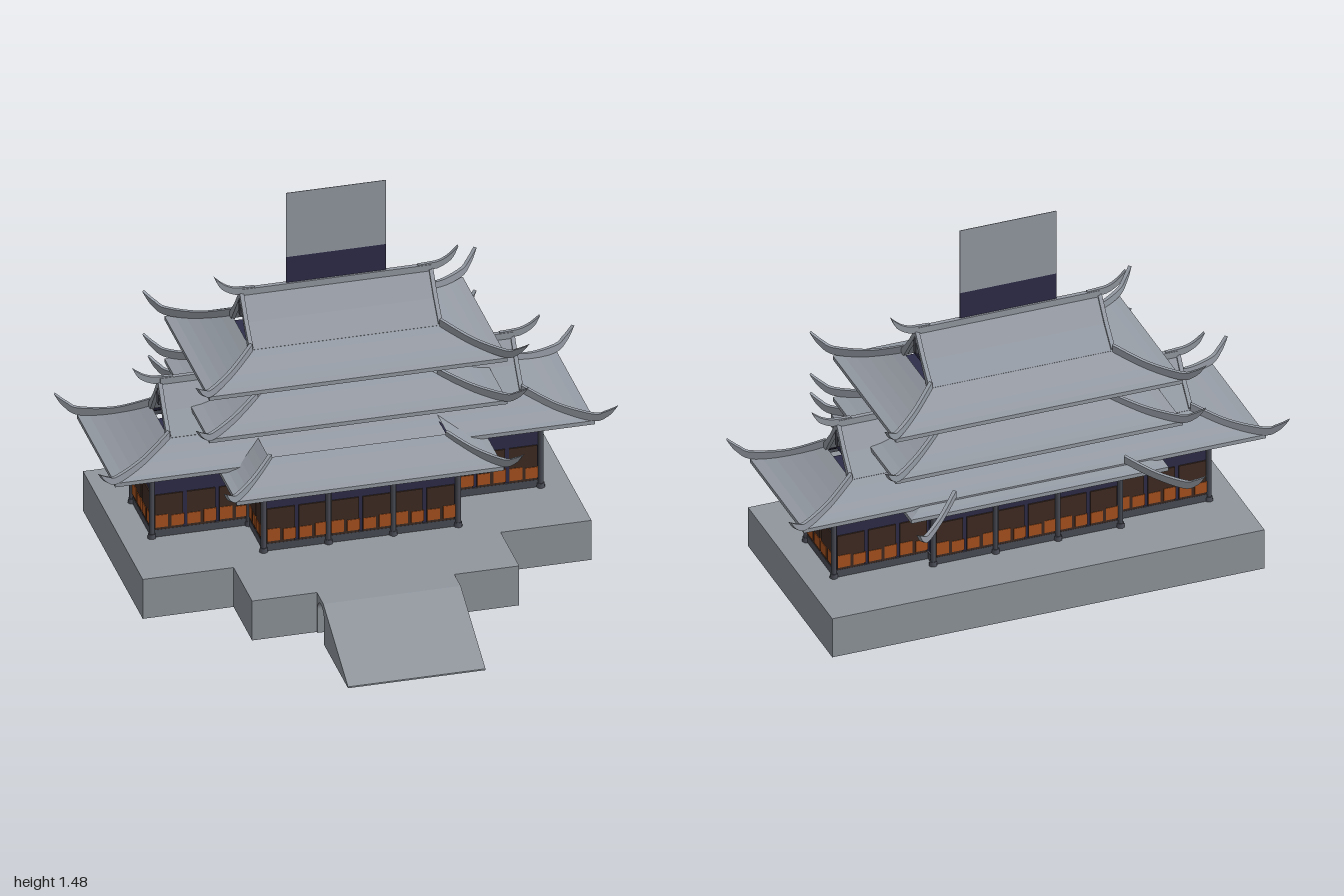
import * as THREE from 'three';

const D = THREE.DoubleSide;
const mat = (name, color, side = D) => {
  const m = new THREE.MeshStandardMaterial({ color, side });
  m.name = name;
  return m;
};
const CZ = -0.3; // depth of the ridge line

export function createModel() {
  const root = new THREE.Group();
  root.name = 'pagodaHall';
  const tile = mat('roof grey', 0x959ba4), stone = mat('stone grey', 0x90969d);
  const navy = mat('dark navy', 0x2d2c48), slate = mat('slate', 0x4a4c56);
  const brown = mat('dark brown', 0x3e2b22), orange = mat('lantern orange', 0xa9521f);

  const add = (geo, m, name, parent = root) => {
    const mesh = new THREE.Mesh(geo, m);
    mesh.name = name;
    parent.add(mesh);
    return mesh;
  };
  const box = (x0, x1, y0, y1, z0, z1, m, name, parent) => add(
    new THREE.BoxGeometry(x1 - x0, y1 - y0, z1 - z0)
      .translate((x0 + x1) / 2, (y0 + y1) / 2, (z0 + z1) / 2), m, name, parent);

  // Rectangular loop, and a skin of quads through a list of loops
  const rect = (x, zf, zb, y) => [[x, y, zf], [x, y, zb], [-x, y, zb], [-x, y, zf]];
  const skin = (loops) => {
    const pos = [];
    for (let k = 0; k + 1 < loops.length; k++) {
      const A = loops[k], B = loops[k + 1];
      A.forEach((a, i) => {
        const j = (i + 1) % A.length;
        pos.push(...a, ...A[j], ...B[j], ...a, ...B[j], ...B[i]);
      });
    }
    const g = new THREE.BufferGeometry();
    g.setAttribute('position', new THREE.Float32BufferAttribute(pos, 3));
    g.computeVertexNormals();
    return g;
  };

  // Hipped skirt roof: concave tiles, eave edge and dark underside
  function skirt(name, o, i) {
    const g = new THREE.Group();
    g.name = name;
    root.add(g);
    const mix = THREE.MathUtils.lerp, loops = [];
    for (let k = 0; k <= 6; k++) {
      const t = k / 6;
      loops.push(rect(mix(o.x, i.x, t), mix(o.zf, i.zf, t), mix(o.zb, i.zb, t), mix(o.y, i.y, t ** 1.5)));
    }
    add(skin(loops), tile, 'roofTiles', g);
    const drop = (l, d) => l.map(([x, y, z]) => [x, y - d, z]);
    add(skin([drop(loops[0], 0.016), loops[0]]), tile, 'eaveEdge', g);
    add(skin(loops.map(l => drop(l, 0.016)).reverse()), navy, 'roofUnderside', g);
    // Rafter strips just inside the eaves
    add(skin([rect(o.x - 0.03, o.zf - 0.03, o.zb + 0.03, o.y - 0.026),
      rect(o.x - 0.03, o.zf - 0.03, o.zb + 0.03, o.y)]), slate, 'rafterStrip', g);
  }

  // Curved ridge that dips to the eave and sweeps up to a pointed tip
  function horn(s, e, t, name, th = 0.024) {
    const dist = p => Math.hypot(p[0] - s[0], p[2] - s[2]);
    const ue = dist(e), ut = dist(t), mid = (s[1] + e[1]) / 2 - (s[1] - e[1]) * 0.2;
    const v = (x, y) => new THREE.Vector2(x, y);
    const shape = new THREE.Shape();
    shape.moveTo(0, s[1] - 0.006);
    shape.splineThru([v(ue * 0.5, mid - 0.006), v(ue, e[1] - 0.006),
      v((ue + ut) / 2 + 0.012, (e[1] * 2 + t[1]) / 3), v(ut, t[1])]);
    shape.splineThru([v((ue + ut) / 2, (e[1] * 2 + t[1]) / 3 + th * 0.7), v(ue, e[1] + th),
      v(ue * 0.5, mid + th * 0.9), v(0, s[1] + th)]);
    const geo = new THREE.ExtrudeGeometry(shape, { depth: 0.014, bevelEnabled: false, curveSegments: 12 });
    geo.translate(0, 0, -0.007).rotateY(-Math.atan2(t[2] - s[2], t[0] - s[0])).translate(s[0], 0, s[2]);
    add(geo, tile, name);
  }
  // Four hip horns mirrored about x = 0 and the ridge line
  function hipHorns(s, e, t, name) {
    for (const sx of [1, -1]) for (const sz of [1, -1]) {
      const f = p => [p[0] * sx, p[1], CZ + p[2] * sz];
      horn(f(s), f(e), f(t), name);
    }
  }

  // Gabled upper roof: shell, barge boards, dark infill, ridge bar and ridge horns
  function gable(name, gx, h, y0, y1, tip) {
    const g = new THREE.Group();
    g.name = name;
    root.add(g);
    const along = (pts, x0, x1) => new THREE.ExtrudeGeometry(
      new THREE.Shape(pts.map(p => new THREE.Vector2(...p))), { depth: x1 - x0, bevelEnabled: false })
      .rotateY(Math.PI / 2).translate(x0, 0, CZ);
    const m = h * 0.48, ym = (y0 + y1) / 2 - 0.006;
    const chevron = (up, th) => [[-h, y0 + up], [-m, ym + up], [0, y1 + up], [m, ym + up], [h, y0 + up],
      [h - th * 0.4, y0 + up - th], [m, ym + up - th], [0, y1 + up - th], [-m, ym + up - th], [-h + th * 0.4, y0 + up - th]];
    add(along(chevron(0, 0.014), -gx, gx), tile, 'gableTiles', g);
    add(along([[-h + 0.012, y0 - 0.01], [h - 0.012, y0 - 0.01], [0, y1 - 0.012]], -gx + 0.04, gx - 0.04), navy, 'gableWall', g);
    for (const s of [1, -1]) {
      add(along(chevron(0.012, 0.032), s * gx - 0.008, s * gx + 0.008), tile, 'bargeBoard', g);
      box(s * gx - 0.008, s * gx + 0.008, y1 - 0.09, y1 - 0.03, CZ - 0.012, CZ + 0.012, slate, 'gablePendant', g);
      horn([s * (gx - 0.05), y1 + 0.002, CZ], [s * (gx + 0.03), y1 + 0.008, CZ], [s * tip[0], tip[1], CZ], 'ridgeHorn', 0.022);
    }
    box(-gx, gx, y1 - 0.006, y1 + 0.02, CZ - 0.009, CZ + 0.009, tile, 'ridgeBar', g);
  }

  // Hollow stone platform with a stepped outline
  const H = 0.168;
  const plan = [[0.865, 0.145], [0.865, -0.71], [-0.865, -0.71], [-0.865, 0.145],
    [-0.515, 0.145], [-0.515, 0.41], [0.515, 0.41], [0.515, 0.145]];
  add(skin([plan.map(([x, z]) => [x, 0, z]), plan.map(([x, z]) => [x, H, z])]), stone, 'platformWalls');
  add(new THREE.ShapeGeometry(new THREE.Shape(plan.map(([x, z]) => new THREE.Vector2(x, -z))))
    .rotateX(-Math.PI / 2).translate(0, H, 0), stone, 'platformTop');

  // Ramp with an arched passage
  const ramp = new THREE.Shape();
  ramp.moveTo(0.41, 0);
  ramp.lineTo(0.418, 0);
  ramp.lineTo(0.418, 0.1);
  ramp.absarc(0.465, 0.1, 0.047, Math.PI, 0, true);
  ramp.lineTo(0.512, 0);
  ramp.lineTo(0.855, 0);
  ramp.lineTo(0.855, 0.006);
  ramp.lineTo(0.5, H);
  ramp.lineTo(0.41, H);
  add(new THREE.ExtrudeGeometry(ramp, { depth: 0.53, bevelEnabled: false })
    .rotateY(-Math.PI / 2).translate(0.265, 0, 0), stone, 'ramp');

  // Ground floor walls with sills and flared tops
  for (const [x, zf, zb, name] of [[0.745, -0.16, -0.435, 'wing'], [0.37, 0.05, -0.485, 'centre']]) {
    box(-x, x, H, 0.42, zb, zf, navy, name + 'Walls');
    box(-x - 0.006, x + 0.006, H, 0.198, zb - 0.006, zf + 0.006, slate, name + 'Sill');
    add(skin([rect(x, zf, zb, 0.41), rect(x + 0.06, zf + 0.06, zb - 0.06, 0.475)]), navy, name + 'Brackets');
  }

  // Rows of shutters and lit windows along one wall
  function windows(x0, z0, x1, z1, bays) {
    const len = Math.hypot(x1 - x0, z1 - z0), step = len / bays;
    const g = new THREE.Group();
    g.name = 'windowRow';
    g.position.set(x0, 0, z0);
    g.rotation.y = -Math.atan2(z1 - z0, x1 - x0);
    root.add(g);
    for (let b = 0; b < bays; b++) {
      const a = b * step, w = step / 2;
      box(a + 0.008, a + step - 0.008, 0.198, 0.345, -0.003, 0.003, brown, 'shutter', g);
      for (let k = 0; k < 2; k++)
        box(a + k * w + 0.009, a + (k + 1) * w - 0.004, 0.208, 0.26 - 0.006 * ((b + k) % 2), -0.002, 0.005, orange, 'litWindow', g);
    }
  }
  windows(-0.37, 0.052, 0.37, 0.052, 6);
  windows(0.37, -0.487, -0.37, -0.487, 6);
  for (const s of [1, -1]) {
    const row = (a, b, c, d, n) => s > 0 ? windows(a, b, c, d, n) : windows(-c, d, -a, b, n);
    row(0.372, -0.158, 0.745, -0.158, 3);
    row(0.745, -0.437, 0.372, -0.437, 3);
    row(0.747, -0.16, 0.747, -0.435, 2);
    row(0.372, 0.05, 0.372, -0.16, 2);
  }

  // Columns with round feet
  const spots = [[0.75, -0.155], [0.75, -0.435], [0.375, 0.055], [0.125, 0.055],
    [0.375, -0.155], [0.375, -0.49], [0.125, -0.49]];
  for (const [x, z] of spots) for (const s of [1, -1]) {
    add(new THREE.CylinderGeometry(0.011, 0.011, 0.25, 8).translate(s * x, 0.295, z), slate, 'column');
    add(new THREE.CylinderGeometry(0.014, 0.017, 0.018, 8).translate(s * x, H + 0.009, z), slate, 'columnFoot');
  }

  // Wing roof running across the whole hall
  skirt('wingRoof', { x: 0.925, zf: -0.028, zb: -0.572, y: 0.492 }, { x: 0.68, zf: CZ + 0.13, zb: CZ - 0.13, y: 0.575 });
  gable('wingGable', 0.68, 0.132, 0.575, 0.742, [0.785, 0.815]);
  hipHorns([0.68, 0.58, 0.13], [0.92, 0.5, 0.268], [1.0, 0.568, 0.32], 'wingHipHorn');

  // Lower centre roof, open around the second storey
  skirt('lowerRoof', { x: 0.515, zf: 0.19, zb: -0.625, y: 0.472 }, { x: 0.345, zf: 0.02, zb: -0.46, y: 0.545 });
  hipHorns([0.34, 0.535, 0.32], [0.515, 0.482, 0.488], [0.575, 0.545, 0.548], 'lowerHipHorn');
  box(-0.37, 0.37, 0.47, 0.48, -0.48, 0.05, brown, 'lowerCeiling');

  // Upper storeys: walls flaring into brackets, then a roof
  const storey = (name, x, y0, y1, y2) => add(skin([
    rect(x, CZ + 0.145, CZ - 0.145, y0), rect(x, CZ + 0.145, CZ - 0.145, y1),
    rect(x + 0.09, CZ + 0.24, CZ - 0.24, y2)]), navy, name);
  const eave = y => ({ x: 0.575, zf: CZ + 0.32, zb: CZ - 0.32, y });
  storey('secondStorey', 0.34, 0.47, 0.56, 0.645);
  skirt('middleRoof', eave(0.655), { x: 0.32, zf: CZ + 0.147, zb: CZ - 0.147, y: 0.728 });
  hipHorns([0.35, 0.715, 0.16], [0.57, 0.665, 0.317], [0.64, 0.735, 0.385], 'middleHipHorn');

  storey('thirdStorey', 0.31, 0.7, 0.755, 0.825);
  skirt('topRoof', eave(0.836), { x: 0.365, zf: CZ + 0.14, zb: CZ - 0.14, y: 0.91 });
  gable('topGable', 0.365, 0.142, 0.91, 1.076, [0.47, 1.158]);
  hipHorns([0.365, 0.912, 0.14], [0.57, 0.848, 0.317], [0.64, 0.918, 0.385], 'topHipHorn');

  // Upright panel above the ridge, with an uneven dark lower band
  box(-0.193, 0.193, 1.205, 1.478, CZ - 0.001, CZ + 0.001, tile, 'panelUpper');
  box(-0.193, 0.193, 1.09, 1.205, CZ - 0.001, CZ + 0.001, navy, 'panelLower');
  return root;
}
